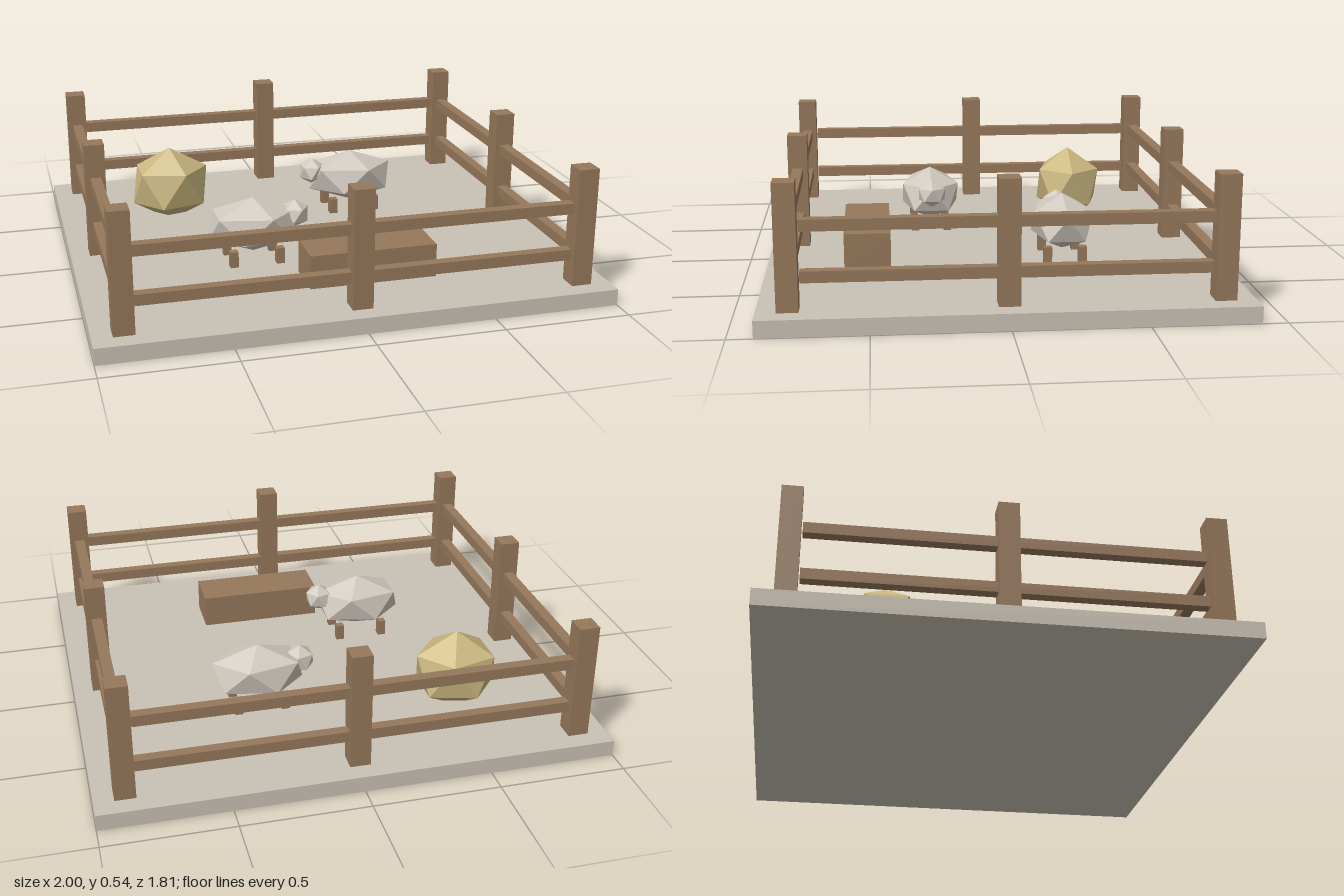
import * as THREE from 'three';

const mat = (name, color) => {
  const m = new THREE.MeshStandardMaterial({ color, flatShading: true });
  m.name = name;
  return m;
};

export function createModel() {
  const model = new THREE.Group();
  model.name = 'animalPen';
  const stone = mat('pale stone', 0xc9c1b5);
  const wool = mat('wool', 0xd0c9bf);
  const wood = mat('brown wood', 0x96785b);
  const straw = mat('straw', 0xcbb780);

  const add = (parent, name, geometry, material, x, y, z) => {
    const mesh = new THREE.Mesh(geometry, material);
    mesh.name = name;
    mesh.position.set(x, y, z);
    parent.add(mesh);
    return mesh;
  };
  // Box given by its bottom and top heights
  const block = (parent, name, material, x, z, w, d, y0, y1) =>
    add(parent, name, new THREE.BoxGeometry(w, y1 - y0, d), material, x, (y0 + y1) / 2, z);
  // Faceted lump with a corner pointing up and an upper-ring corner toward +x
  const lump = (rx, ry, rz) => {
    const g = new THREE.IcosahedronGeometry(1, 0);
    g.rotateX(-Math.atan((1 + Math.sqrt(5)) / 2));
    g.rotateY(Math.PI / 2);
    g.scale(rx, ry, rz);
    return g;
  };

  const floor = 0.065;
  block(model, 'ground', stone, 0, 0, 2, 1.81, 0, floor);

  // Fence posts at corners and midpoints
  const fence = new THREE.Group();
  fence.name = 'fence';
  model.add(fence);
  const px = 0.883, pz = 0.79;
  for (const i of [-1, 0, 1])
    for (const j of [-1, 0, 1])
      if (i || j) block(fence, 'post', wood, i * px, j * pz, 0.08, 0.08, floor, 0.535);

  // Two rails on each side
  for (const s of [-1, 1])
    for (const y of [0.167, 0.355]) {
      block(fence, 'longRail', wood, 0, s * pz, 1.68, 0.042, y, y + 0.043);
      block(fence, 'sideRail', wood, s * px, 0, 0.042, 1.49, y, y + 0.043);
    }

  block(model, 'trough', wood, 0.115, 0.508, 0.51, 0.185, floor, 0.2);
  add(model, 'hayPile', lump(0.185, 0.168, 0.159), straw, -0.515, 0.19, -0.42);

  // Two sheep facing opposite ways
  for (const [x, z, dir] of [[-0.282, 0.23, 1], [0.276, -0.28, -1]]) {
    const sheep = new THREE.Group();
    sheep.name = 'sheep';
    sheep.position.set(x, 0, z);
    model.add(sheep);
    add(sheep, 'body', lump(0.207, 0.114, 0.141), wool, 0, 0.213, 0);
    add(sheep, 'head', lump(0.062, 0.058, 0.066), wool, dir * 0.174, 0.244, 0);
    for (const i of [-1, 1])
      for (const j of [-1, 1])
        block(sheep, 'leg', wood, i * 0.095, j * 0.07, 0.033, 0.033, floor, 0.13);
  }
  return model;
}
